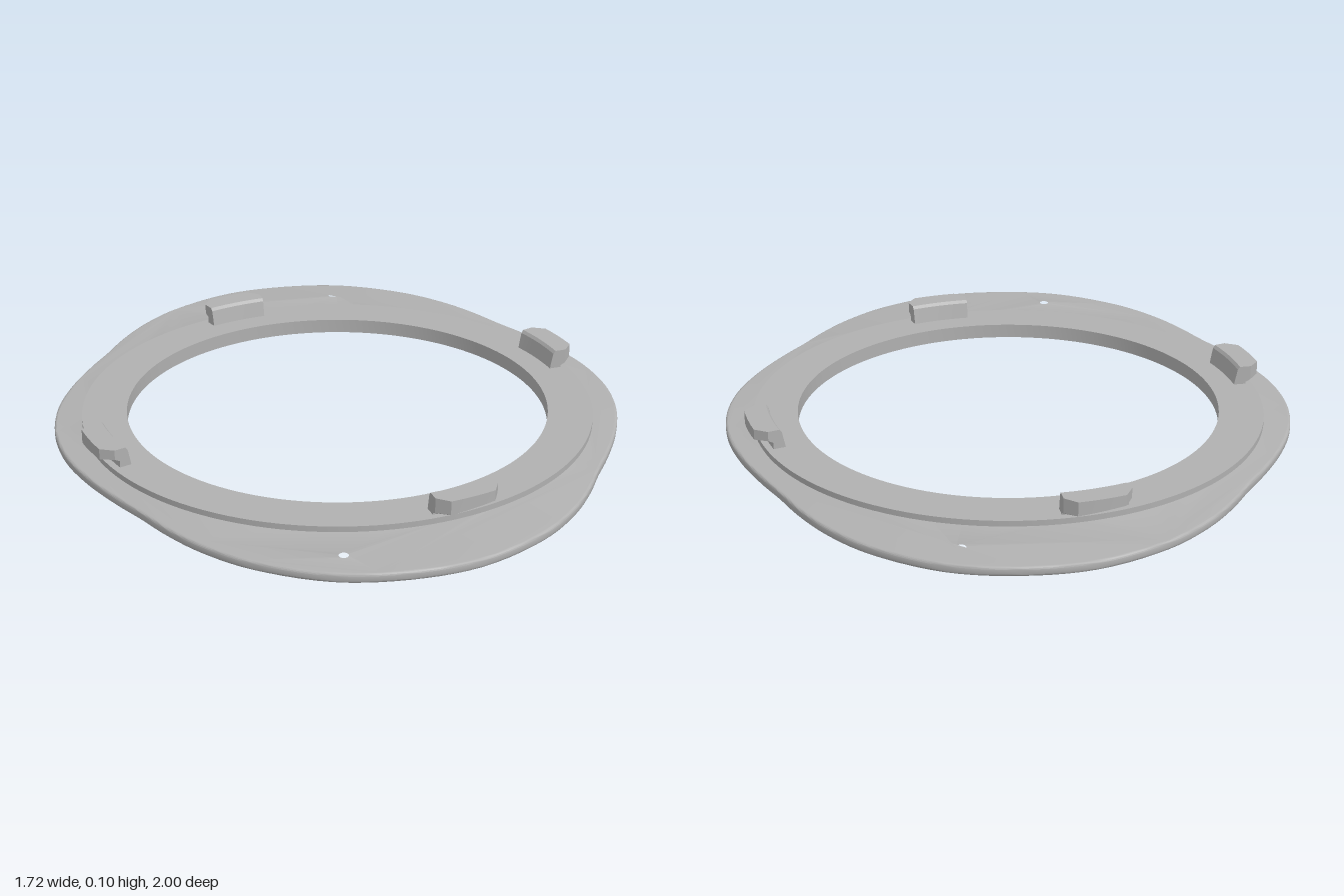
import * as THREE from 'three';
import { toCreasedNormals } from 'three/addons/utils/BufferGeometryUtils.js';

const rad = THREE.MathUtils.degToRad;

// Flat plate: a round flange stretched front and back, with two screw holes
function plateGeometry() {
  const quarter = [[0, 1], [0.2, 0.973], [0.4, 0.868], [0.52, 0.755], [0.6, 0.645], [0.66, 0.54],
    [0.715, 0.45], [0.785, 0.315], [0.838, 0.165], [0.858, 0]];
  const half = [...quarter, ...quarter.slice(0, -1).reverse().map(([x, y]) => [x, -y])];
  const loop = [...half, ...half.slice(1, -1).reverse().map(([x, y]) => [-x, y])];
  const curve = new THREE.CatmullRomCurve3(loop.map(([x, y]) => new THREE.Vector3(x, y, 0)), true);
  const shape = new THREE.Shape(curve.getPoints(180).slice(0, -1).map(p => new THREE.Vector2(p.x, p.y)));
  const addHole = (x, y, r) => shape.holes.push(new THREE.Path().absarc(x, y, r, 0, Math.PI * 2, true));
  addHole(0, 0, 0.76);
  addHole(0.155, 0.885, 0.021);
  addHole(-0.155, -0.885, 0.021);
  const bevel = 0.007;
  const geo = new THREE.ExtrudeGeometry(shape, {
    depth: 0.028 - 2 * bevel, bevelThickness: bevel, bevelSize: bevel, bevelOffset: -bevel,
    bevelSegments: 3, curveSegments: 48,
  });
  geo.translate(0, 0, bevel).rotateX(-Math.PI / 2);
  return toCreasedNormals(geo, 0.6);
}

// Raised inner ring
function ringGeometry() {
  const profile = [[0.64, 0], [0.775, 0], [0.775, 0.045], [0.64, 0.045], [0.64, 0]];
  return toCreasedNormals(new THREE.LatheGeometry(profile.map(p => new THREE.Vector2(...p)), 128), 0.6);
}

// Bayonet clip: a stem with an overhanging lip, ramped below and chamfered at both ends
function clipGeometry() {
  const angles = [-7.4, -5, -2.5, 0, 2.5, 5, 7.4];
  const sections = angles.map(a => {
    const outer = Math.abs(a) > 6 ? 0.77 : 0.802;
    const under = 0.066 - a * 0.001;
    return [[0.717, 0.04], [0.728, 0.094], [0.735, 0.103], [outer, 0.103], [outer, under],
      [0.755, under - 0.008], [0.755, 0.04]]
      .map(([r, y]) => [r * Math.cos(rad(a)), y, r * Math.sin(rad(a))]);
  });
  const n = sections[0].length;
  const index = [];
  for (let s = 0; s < angles.length - 1; s++) {
    for (let j = 0; j < n; j++) {
      const a = s * n + j, b = s * n + (j + 1) % n;
      index.push(a, b + n, b, a, a + n, b + n);
    }
  }
  // End caps, fanned from the top inner corner
  const last = (angles.length - 1) * n;
  for (let k = 1; k < n - 1; k++) {
    const b = (2 + k) % n, c = (3 + k) % n;
    index.push(2, b, c, last + 2, last + c, last + b);
  }
  const geo = new THREE.BufferGeometry();
  geo.setAttribute('position', new THREE.Float32BufferAttribute(sections.flat(2), 3));
  geo.setIndex(index);
  return toCreasedNormals(geo, 0.15);
}

export function createModel() {
  const grey = new THREE.MeshStandardMaterial({ color: 0xb0b0b0 });
  grey.name = 'grey';
  const group = new THREE.Group();
  group.name = 'mountingRing';
  const add = (name, geo) => {
    const mesh = new THREE.Mesh(geo, grey);
    mesh.name = name;
    group.add(mesh);
    return mesh;
  };
  add('basePlate', plateGeometry());
  add('raisedRing', ringGeometry());

  // Four clips, a quarter turn apart
  const clip = clipGeometry();
  for (let i = 0; i < 4; i++) {
    add(`clip${i + 1}`, clip).rotation.y = rad(16.5) + i * Math.PI / 2;
  }
  return group;
}
